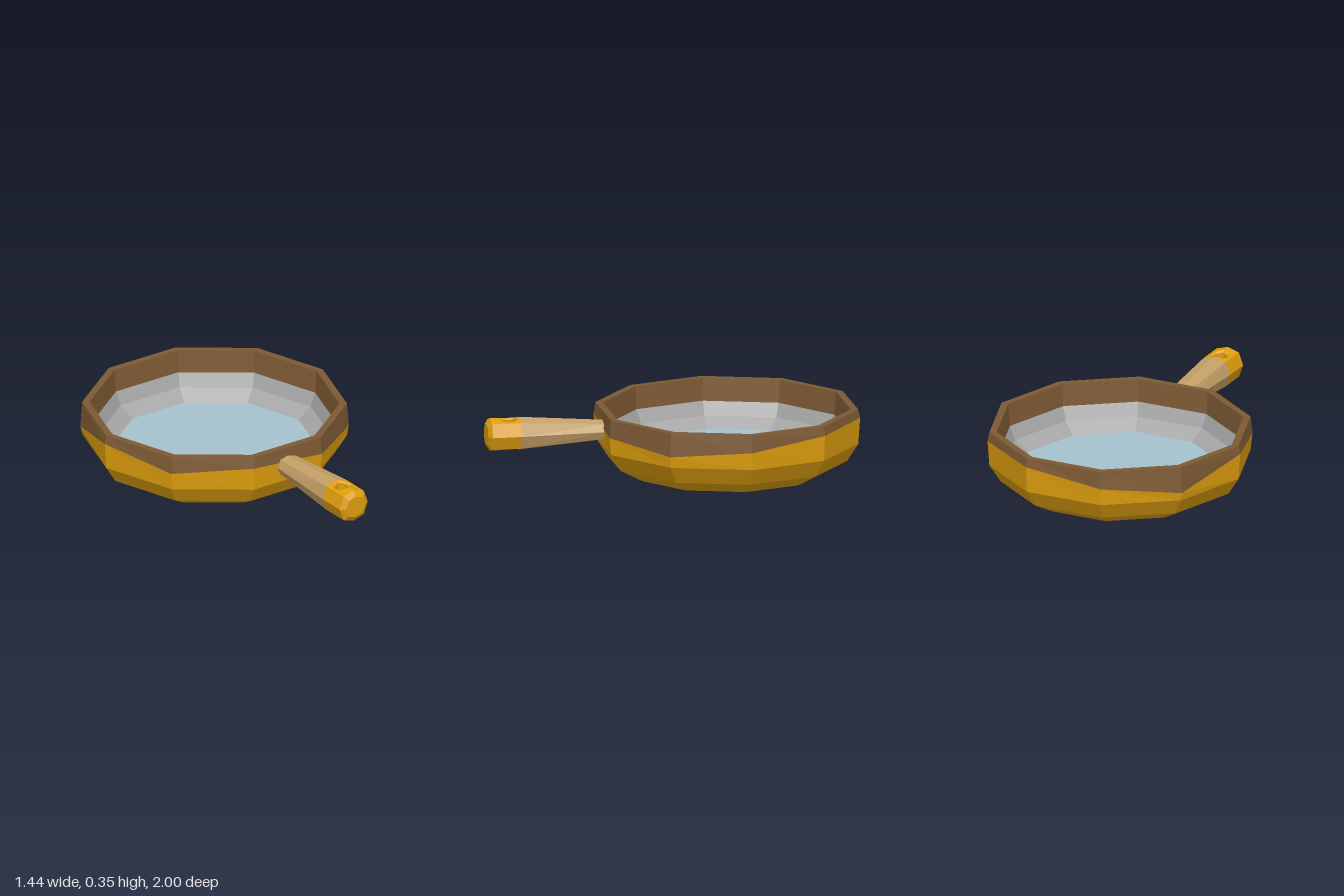
import * as THREE from 'three';

const mat = (name, color) => {
  const m = new THREE.MeshStandardMaterial({ color });
  m.name = name;
  return m;
};

// Skin closed loops of points with flat quads; keep() can leave out segments
function loft(rings, keep = () => true) {
  const pos = [];
  const tri = (a, b, c) => {
    const area = b.clone().sub(a).cross(c.clone().sub(a)).length();
    if (area > 1e-9) for (const p of [a, b, c]) pos.push(p.x, p.y, p.z);
  };
  for (let i = 0; i + 1 < rings.length; i++) {
    const lo = rings[i], hi = rings[i + 1], n = lo.length;
    for (let k = 0; k < n; k++) {
      if (!keep(k)) continue;
      const l = (k + 1) % n;
      tri(lo[k], hi[k], hi[l]);
      tri(lo[k], hi[l], lo[l]);
    }
  }
  const g = new THREE.BufferGeometry();
  g.setAttribute('position', new THREE.Float32BufferAttribute(pos, 3));
  g.computeVertexNormals();
  return g;
}

// Ten-sided loop of the pan; y may be one height or a height per corner
const PAN_Z = -0.315;
const panRing = (r, y) => Array.from({ length: 10 }, (_, k) => {
  const a = (k * Math.PI) / 5;
  return new THREE.Vector3(r * Math.cos(a), Array.isArray(y) ? y[k] : y, PAN_Z + r * Math.sin(a));
});

// Eight-sided section of the handle
const GRIP_Y = 0.256, FX = 0.72, FY = 0.78;
const gripRing = (w, h, z) => [
  [1, 0], [FX, -FY], [0, -1], [-FX, -FY], [-1, 0], [-FX, FY], [0, 1], [FX, FY],
].map(([x, y]) => new THREE.Vector3(x * w, GRIP_Y + y * h, z));

export function createModel() {
  const gold = mat('gold', 0xdf9f0e);
  const brown = mat('brown', 0x7d5a34);
  const tan = mat('tan', 0xc4a067);
  const grey = mat('grey', 0xa6a6a6);
  const blue = mat('pale blue', 0xa5c1ce);

  const group = new THREE.Group();
  const add = (name, geometry, material) => {
    const mesh = new THREE.Mesh(geometry, material);
    mesh.name = name;
    group.add(mesh);
  };

  // Pan: gold shell, brown rim with an uneven lower edge, grey wall, blue floor
  const edge = [0.26, 0.225, 0.26, 0.295, 0.26, 0.31, 0.21, 0.26, 0.31, 0.305];
  const outerEdge = panRing(0.72, edge);
  const innerEdge = panRing(0.66, 0.23);
  const floorEdge = panRing(0.55, 0.1);
  add('outerShell', loft([panRing(0, 0), panRing(0.52, 0), panRing(0.65, 0.07), panRing(0.71, 0.165), outerEdge]), gold);
  add('rim', loft([outerEdge, panRing(0.71, 0.355), panRing(0.67, 0.355), innerEdge]), brown);
  add('innerWall', loft([innerEdge, panRing(0.63, 0.155), floorEdge]), grey);
  add('panFloor', loft([floorEdge, panRing(0, 0.1)]), blue);

  // Handle shaft, widening away from the pan
  const W = 0.092, H = 0.09, Z0 = 0.82, Z1 = 0.98, HOLE_Z = 0.88;
  add('handleShaft', loft([gripRing(0.068, 0.052, 0.345), gripRing(W, H, Z0)]), tan);

  // Handle end: side faces, rounded tip, and panels around the hanging hole
  add('handleEndSides', loft([gripRing(W, H, Z0), gripRing(W, H, Z1)], (k) => [0, 3, 4, 7].includes(k)), gold);
  add('handleTip', loft([gripRing(W, H, Z1), gripRing(0.062, 0.06, 1), gripRing(0, 0, 1)]), gold);

  const onFace = (x, z, side, drop = 0) => new THREE.Vector3(
    x, GRIP_Y + side * (H - ((1 - FY) * H * Math.abs(x)) / (FX * W) - drop), z);
  const panelRing = (side) => Array.from({ length: 8 }, (_, j) => {
    const a = (j * Math.PI) / 4;
    const c = Math.round(Math.cos(a)), s = Math.round(Math.sin(a));
    return onFace(c * FX * W, s > 0 ? Z1 : s < 0 ? Z0 : HOLE_Z, side);
  });
  const holeRing = (r, side, drop) => Array.from({ length: 8 }, (_, j) => {
    const a = (j * Math.PI) / 4;
    return onFace(r * Math.cos(a), HOLE_Z + r * Math.sin(a), side, drop);
  });
  add('handleHole', loft([
    panelRing(1), holeRing(0.055, 1, 0), holeRing(0.045, 1, 0.012),
    holeRing(0.045, -1, 0.012), holeRing(0.055, -1, 0), panelRing(-1),
  ]), gold);

  return group;
}
